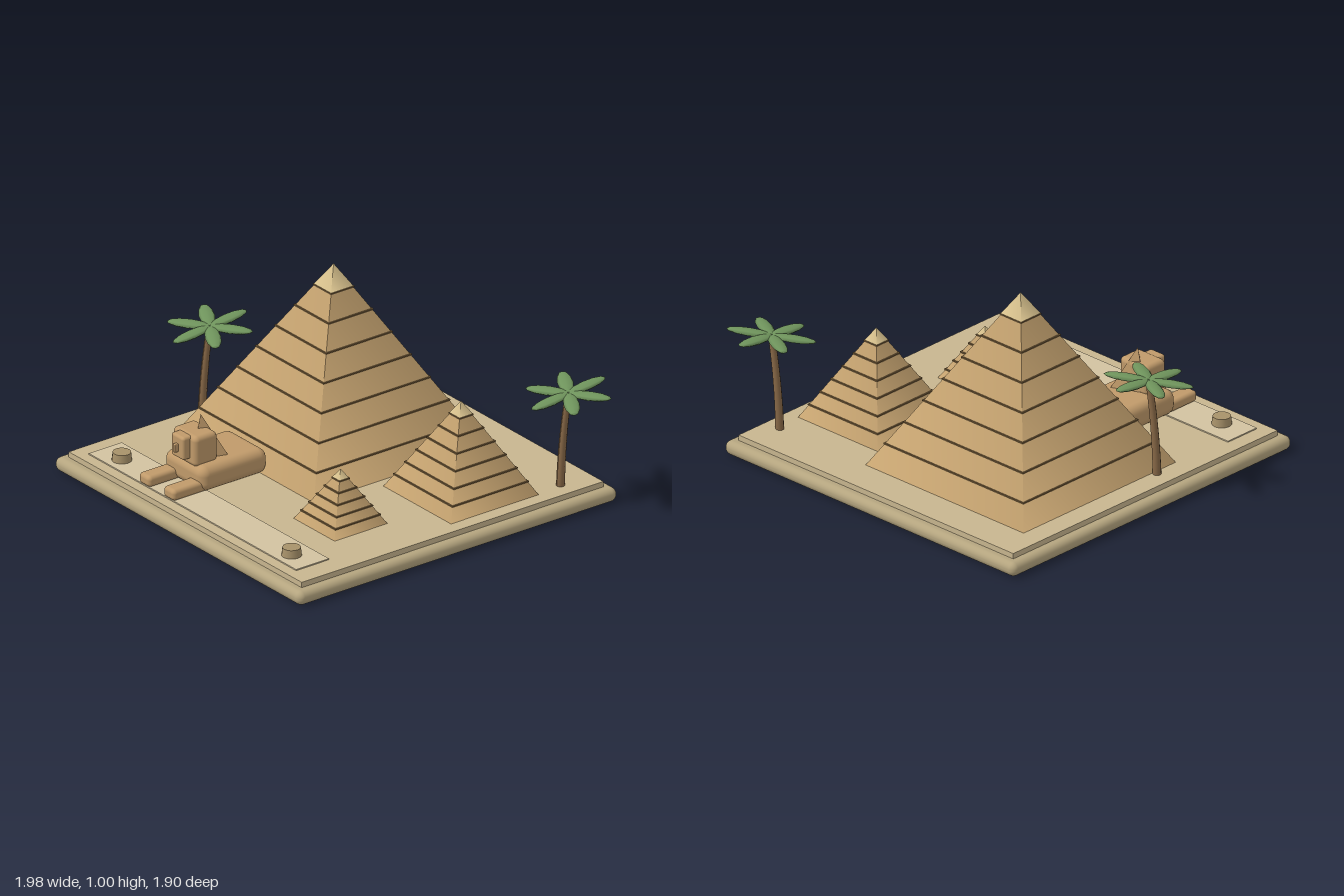
import * as THREE from 'three';
import { RoundedBoxGeometry } from 'three/addons/geometries/RoundedBoxGeometry.js';
import { ConvexGeometry } from 'three/addons/geometries/ConvexGeometry.js';

const paint = (color) => new THREE.MeshStandardMaterial({ color });
const MAT = {
  slab: paint(0xb5a57f), ground: paint(0xc8b68f), terrace: paint(0xd2c2a0),
  sand: paint(0xc9a672), seam: paint(0x80653f), cap: paint(0xdcc590),
  statue: paint(0xc09a6a), stone: paint(0xa8926a), trunk: paint(0x8a6a48), leaf: paint(0x6f945c),
};

function add(parent, name, geometry, material, x = 0, y = 0, z = 0) {
  const mesh = new THREE.Mesh(geometry, material);
  mesh.name = name;
  mesh.position.set(x, y, z);
  parent.add(mesh);
  return mesh;
}

// Square pyramid standing on y = 0
function pyramidGeometry(half, height) {
  return new THREE.ConeGeometry(half * Math.SQRT2, height, 4)
    .rotateY(Math.PI / 4).translate(0, height / 2, 0);
}

// Stepped-looking pyramid: smooth body, thin projecting seams, pale capstone
function pyramid(name, x, z, half, height, courses) {
  const g = new THREE.Group();
  g.name = name;
  g.position.set(x, 0.1, z);
  add(g, 'pyramidBody', pyramidGeometry(half, height), MAT.sand);
  for (let i = 1; i < courses; i++) {
    const w = 2 * (half * (1 - i / courses) + 0.005);
    add(g, 'courseSeam', new THREE.BoxGeometry(w, 0.006, w), MAT.seam, 0, height * i / courses, 0);
  }
  const capHeight = height / courses;
  add(g, 'capstone', pyramidGeometry(half / courses + 0.004, capHeight + 0.001), MAT.cap, 0, height - capHeight, 0);
  return g;
}

// Palm with a curved trunk and six flat leaves on a tilted crown
function palm(name, x, z) {
  const g = new THREE.Group();
  g.name = name;
  g.position.set(x, 0.1, z);
  const curve = new THREE.QuadraticBezierCurve3(
    new THREE.Vector3(-0.035, 0, 0.02), new THREE.Vector3(-0.03, 0.25, 0.016), new THREE.Vector3(0, 0.485, 0));
  const trunk = new THREE.CylinderGeometry(0.016, 0.021, 1, 10, 10).translate(0, 0.5, 0);
  const pos = trunk.attributes.position;
  for (let i = 0; i < pos.count; i++) {
    const p = curve.getPoint(THREE.MathUtils.clamp(pos.getY(i), 0, 1));
    pos.setXYZ(i, pos.getX(i) + p.x, p.y, pos.getZ(i) + p.z);
  }
  trunk.computeVertexNormals();
  add(g, 'trunk', trunk, MAT.trunk);

  const crown = new THREE.Group();
  crown.name = 'crown';
  crown.position.y = 0.485;
  crown.rotation.x = 0.1;
  const leaf = new THREE.SphereGeometry(1, 8, 6).rotateX(Math.PI / 2)
    .scale(0.038, 0.015, 0.112).translate(0, 0, 0.107);
  for (let i = 0; i < 6; i++) add(crown, 'leaf', leaf, MAT.leaf).rotation.y = i * Math.PI / 3;
  g.add(crown);
  return g;
}

// Reclining statue facing the front
function statue() {
  const g = new THREE.Group();
  g.name = 'recliningStatue';
  g.position.x = -0.323;
  const block = (name, w, h, d, r, x, y, z) =>
    add(g, name, new RoundedBoxGeometry(w, h, d, 4, r), MAT.statue, x, y, z);
  block('body', 0.31, 0.127, 0.395, 0.045, 0, 0.167, 0.49);
  for (const side of [-1, 1]) block('paw', 0.087, 0.056, 0.28, 0.02, side * 0.094, 0.134, 0.705);
  block('head', 0.184, 0.157, 0.135, 0.025, 0, 0.293, 0.613);
  block('face', 0.097, 0.118, 0.06, 0.014, 0, 0.308, 0.69);
  block('nose', 0.02, 0.042, 0.03, 0.004, 0, 0.305, 0.725);
  // Three-sided headdress rising behind the head
  const corners = [[0, 0.437, 0.58], [0.09, 0.22, 0.48], [-0.08, 0.22, 0.555], [0.03, 0.22, 0.66]];
  add(g, 'headdress', new ConvexGeometry(corners.map((c) => new THREE.Vector3(...c))), MAT.statue);
  return g;
}

export function createModel() {
  const model = new THREE.Group();
  model.name = 'desertDiorama';

  // Layered base
  add(model, 'baseSlab', new RoundedBoxGeometry(1.895, 0.072, 1.895, 4, 0.034), MAT.slab, -0.038, 0.036, -0.003);
  add(model, 'groundPlate', new THREE.BoxGeometry(1.79, 0.04, 1.79), MAT.ground, -0.038, 0.08, -0.003);
  add(model, 'terrace', new THREE.BoxGeometry(1.593, 0.012, 0.195), MAT.terrace, -0.056, 0.1, 0.738);

  // Pyramids
  model.add(
    pyramid('largePyramid', -0.305, -0.195, 0.515, 0.9, 8),
    pyramid('mediumPyramid', 0.525, -0.31, 0.26, 0.467, 7),
    pyramid('smallPyramid', 0.441, 0.34, 0.157, 0.27, 6),
  );

  // Statue, pedestals and palms
  model.add(statue());
  for (const x of [-0.703, 0.601]) {
    add(model, 'pedestal', new THREE.CylinderGeometry(0.044, 0.049, 0.045, 16), MAT.stone, x, 0.125, 0.754);
  }
  model.add(palm('leftFrontPalm', -0.805, 0.153), palm('rightBackPalm', 0.8, -0.735));
  return model;
}
